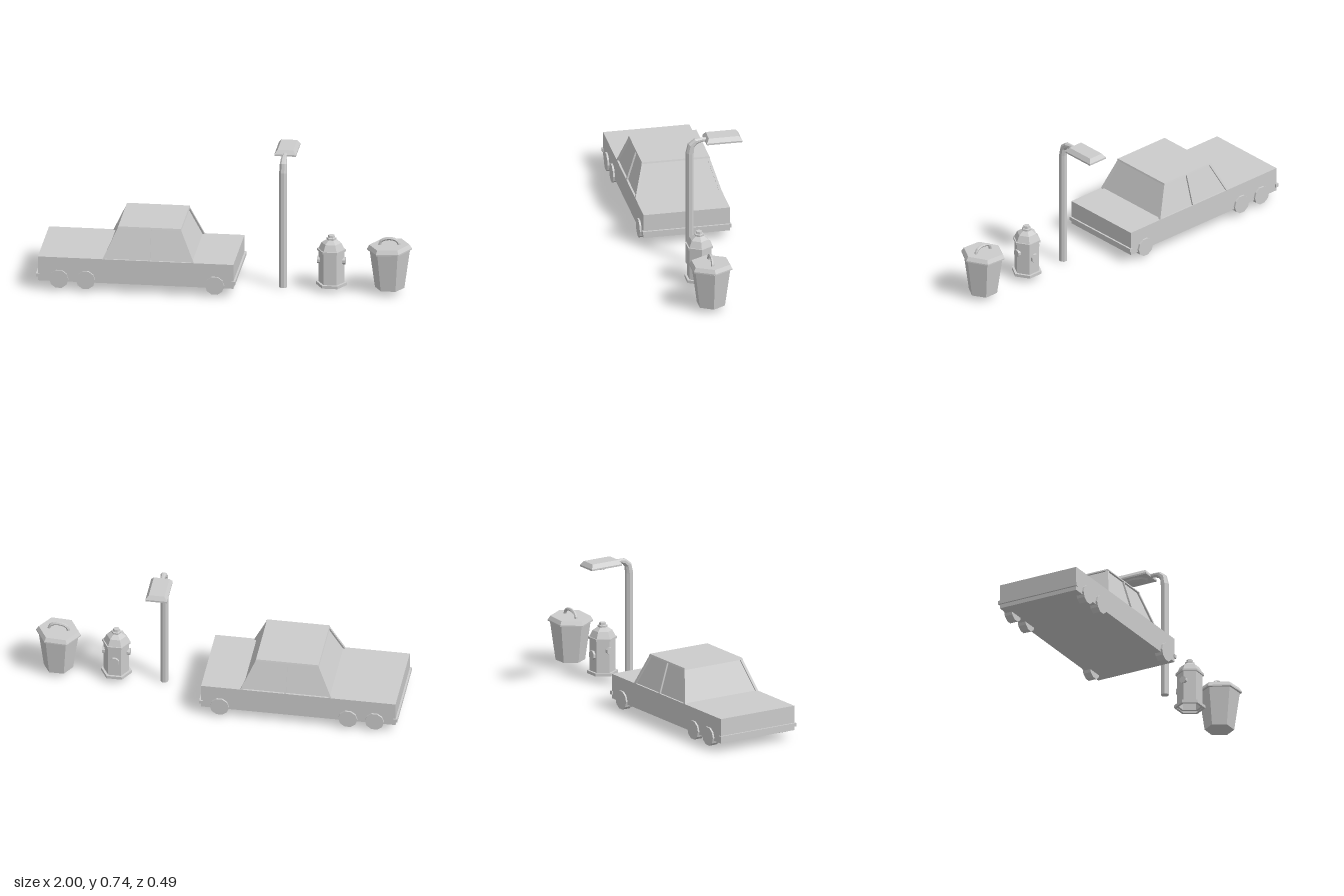
import * as THREE from 'three';

const mat = new THREE.MeshStandardMaterial({ color: 0xcccccc, flatShading: true });
const openMat = new THREE.MeshStandardMaterial({ color: 0xcccccc, flatShading: true, side: THREE.DoubleSide });

function add(parent, name, geometry, material = mat) {
  const mesh = new THREE.Mesh(geometry, material);
  mesh.name = name;
  parent.add(mesh);
  return mesh;
}

function group(parent, name, x = 0, y = 0, z = 0) {
  const g = new THREE.Group();
  g.name = name;
  g.position.set(x, y, z);
  parent.add(g);
  return g;
}

// Box whose bottom and top rectangles [x0, x1, z0, z1] differ
function prism(y0, y1, bottom, top = bottom) {
  const geo = new THREE.BoxGeometry(1, 1, 1);
  const p = geo.attributes.position;
  for (let i = 0; i < p.count; i++) {
    const up = p.getY(i) > 0;
    const r = up ? top : bottom;
    p.setXYZ(i, p.getX(i) > 0 ? r[1] : r[0], up ? y1 : y0, p.getZ(i) > 0 ? r[3] : r[2]);
  }
  geo.computeVertexNormals();
  return geo;
}

// Six-sided turned shape with corners on the x axis
function hexLathe(points) {
  return new THREE.LatheGeometry(points.map(([r, y]) => new THREE.Vector2(r, y)), 6, Math.PI / 2);
}

// Round tube through [y, z, radius, lean] rings, leaning towards -z
function bentPole(rings, sides) {
  const n = rings.length - 1;
  const geo = new THREE.CylinderGeometry(1, 1, 1, sides, n, false, Math.PI / sides);
  const p = geo.attributes.position;
  for (let i = 0; i < p.count; i++) {
    const [y, z, r, a] = rings[Math.round((p.getY(i) + 0.5) * n)];
    const lz = p.getZ(i) * r;
    p.setXYZ(i, p.getX(i) * r, y + lz * Math.sin(a), z + lz * Math.cos(a));
  }
  geo.computeVertexNormals();
  return geo;
}

function buildCar(parent) {
  const car = group(parent, 'car');
  add(car, 'carBody', prism(0.05, 0.185, [-0.99, 0.06, -0.235, 0.235]));

  // Cabin: recessed windows, corner and middle pillars, thin roof
  const B = [-0.643, -0.152, -0.235, 0.235], T = [-0.565, -0.228, -0.184, 0.184];
  const inset = ([a, b, c, d], k) => [a + k, b - k, c + k, d - k];
  add(car, 'windows', prism(0.18, 0.35, inset(B, 0.009), inset(T, 0.009)));
  add(car, 'roof', prism(0.348, 0.357, inset(T, -0.003), T));
  const w = 0.014;
  for (const s of [-1, 1]) {
    const zr = (z) => (s > 0 ? [z - w, z] : [-z, -z + w]);
    add(car, 'rearPillar', prism(0.185, 0.352, [B[0], B[0] + w, ...zr(B[3])], [T[0], T[0] + w, ...zr(T[3])]));
    add(car, 'frontPillar', prism(0.185, 0.352, [B[1] - w, B[1], ...zr(B[3])], [T[1] - w, T[1], ...zr(T[3])]));
    add(car, 'middlePillar', prism(0.185, 0.352, [-0.398, -0.388, ...zr(B[3])], [-0.398, -0.388, ...zr(T[3])]));
    // Ten-sided wheels, two rear axles and one front
    for (const x of [-0.877, -0.733, -0.04]) {
      const geo = new THREE.CylinderGeometry(0.0515, 0.0515, 0.046, 10, 1, false, Math.PI / 2);
      const wheel = add(car, 'wheel', geo.rotateX(Math.PI / 2));
      wheel.position.set(x, 0.065, s * 0.222);
    }
  }
  add(car, 'rearBumper', prism(0.072, 0.091, [-1, -0.98, -0.241, 0.241]));
  add(car, 'frontBumper', prism(0.072, 0.091, [0.05, 0.07, -0.241, 0.241]));
}

function buildStreetLamp(parent) {
  const lamp = group(parent, 'streetLamp', 0.302, 0, 0);
  add(lamp, 'lampPole', bentPole([
    [0, 0.035, 0.022, 0], [0.648, 0.035, 0.022, 0.1], [0.692, 0.027, 0.02, 0.5],
    [0.714, 0.002, 0.017, 1.15], [0.719, -0.03, 0.012, 1.5], [0.72, -0.07, 0.01, 1.57],
  ], 8));
  const rim = [-0.058, 0.058, -0.24, -0.047];
  add(lamp, 'lampHeadRim', prism(0.71, 0.719, rim));
  add(lamp, 'lampHeadTop', prism(0.719, 0.741, rim, [-0.042, 0.042, -0.225, -0.061]));
  const lens = new THREE.SphereGeometry(1, 8, 3, 0, Math.PI * 2, Math.PI / 2, Math.PI / 2);
  lens.scale(0.043, 0.018, 0.076);
  add(lamp, 'lampLens', lens).position.set(0, 0.711, -0.143);
}

function buildHydrant(parent) {
  const hydrant = group(parent, 'hydrant', 0.562, 0, 0.038);
  // Hollow body: base flange, barrel, collar, domed cap and top nut
  add(hydrant, 'hydrantBody', hexLathe([
    [0.068, 0.027], [0.083, 0.027], [0.083, 0.043], [0.069, 0.043], [0.069, 0.218],
    [0.077, 0.218], [0.077, 0.23], [0.07, 0.23], [0.053, 0.265], [0.026, 0.283],
    [0.026, 0.293], [0.019, 0.295], [0.017, 0.308], [0, 0.308],
  ]), openMat);
  // Side outlets and a larger rear outlet
  const outlets = [
    ['sideOutlet', Math.PI / 2, 0.165, 0.02, 0.076],
    ['sideOutlet', -Math.PI / 2, 0.165, 0.02, 0.076],
    ['rearOutlet', Math.PI, 0.135, 0.026, 0.072],
  ];
  for (const [name, turn, y, r, reach] of outlets) {
    const geo = new THREE.CylinderGeometry(r, r, 0.03, 8, 1, false, Math.PI / 8);
    geo.rotateX(Math.PI / 2).translate(0, 0, reach - 0.015).rotateY(turn);
    add(hydrant, name, geo).position.y = y;
  }
}

function buildBin(parent) {
  const bin = group(parent, 'trashCan', 0.875, 0, 0.04);
  add(bin, 'canBody', hexLathe([[0, 0.026], [0.079, 0.026], [0.109, 0.24], [0, 0.24]]));
  // Slightly tilted lid with an arched handle
  const lid = group(bin, 'canLid', 0, 0.24, 0);
  lid.rotation.z = 0.05;
  add(lid, 'lidPlate', hexLathe([[0, 0], [0.121, 0], [0.121, 0.007], [0.108, 0.028], [0, 0.028]]));
  const arch = new THREE.CatmullRomCurve3([
    [-0.053, 0.022], [-0.046, 0.046], [-0.022, 0.06], [0.022, 0.06], [0.046, 0.046], [0.053, 0.022],
  ].map(([x, y]) => new THREE.Vector3(x, y, 0)));
  add(lid, 'lidHandle', new THREE.TubeGeometry(arch, 10, 0.009, 6));
}

export function createModel() {
  const model = new THREE.Group();
  model.name = 'streetSet';
  buildCar(model);
  buildStreetLamp(model);
  buildHydrant(model);
  buildBin(model);
  return model;
}
